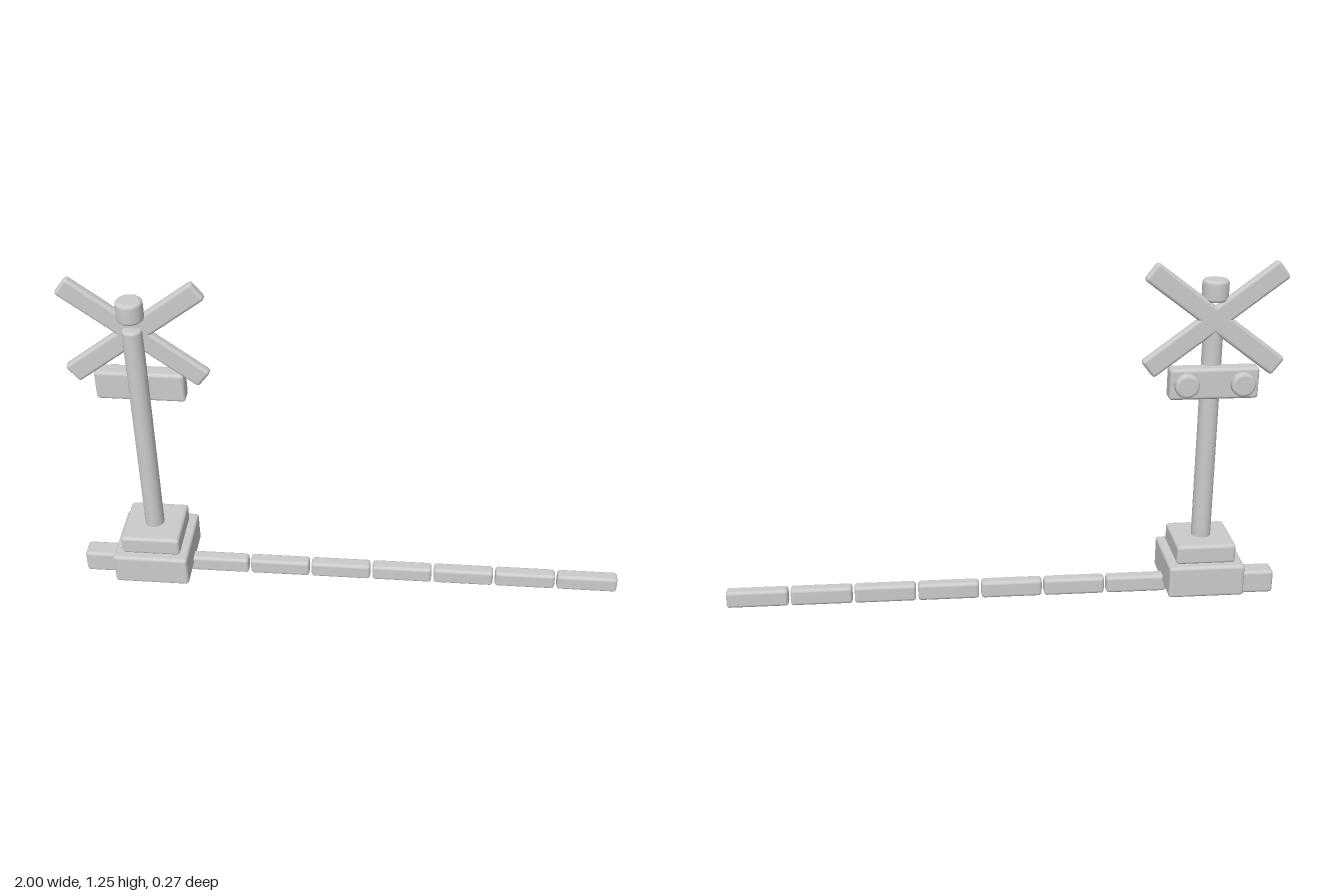
import * as THREE from 'three';
import { RoundedBoxGeometry } from 'three/addons/geometries/RoundedBoxGeometry.js';

const material = new THREE.MeshStandardMaterial({ color: 0xcccccc });
const POST_X = -0.725;

// Box with softened edges
function block(name, [w, h, d], [x, y, z], bevel = 0.012) {
  const mesh = new THREE.Mesh(new RoundedBoxGeometry(w, h, d, 3, bevel), material);
  mesh.name = name;
  mesh.position.set(x, y, z);
  return mesh;
}

// Upright cylinder with softened rims, centred on its own origin
function roundBar(name, radius, height, [x, y, z], bevel = 0.01) {
  const h = height / 2;
  const profile = [new THREE.Vector2(0, -h), new THREE.Vector2(radius - bevel - 0.002, -h)];
  for (const side of [-1, 1]) {
    for (let i = 0; i <= 3; i++) {
      const a = (side < 0 ? i - 3 : i) * Math.PI / 6;
      profile.push(new THREE.Vector2(
        radius - bevel + bevel * Math.cos(a),
        side * (h - bevel) + bevel * Math.sin(a)));
    }
  }
  profile.push(new THREE.Vector2(radius - bevel - 0.002, h), new THREE.Vector2(0, h));
  const mesh = new THREE.Mesh(new THREE.LatheGeometry(profile, 32), material);
  mesh.name = name;
  mesh.position.set(x, y, z);
  return mesh;
}

export function createModel() {
  const model = new THREE.Group();
  model.name = 'railwayCrossingBarrier';

  // Stepped base and post
  model.add(
    block('baseLower', [0.274, 0.12, 0.274], [POST_X, 0.107, 0]),
    block('baseUpper', [0.214, 0.072, 0.214], [POST_X, 0.2, 0]),
    roundBar('post', 0.035, 0.87, [POST_X, 0.645, 0]),
    roundBar('bell', 0.046, 0.076, [POST_X, 1.152, 0], 0.012)
  );

  // Crossed warning boards
  const crossbuck = new THREE.Group();
  crossbuck.name = 'crossbuck';
  for (const side of [-1, 1]) {
    const board = block('crossBoard', [0.575, 0.075, 0.034], [POST_X, 1.054, -0.02]);
    board.rotation.z = side * 0.65;
    crossbuck.add(board);
  }
  model.add(crossbuck);

  // Signal box with a lamp on each side, facing the back
  const signal = new THREE.Group();
  signal.name = 'signal';
  signal.add(block('signalBox', [0.312, 0.112, 0.06], [POST_X, 0.835, -0.038]));
  for (const side of [-1, 1]) {
    const lamp = roundBar('lamp', 0.043, 0.04, [POST_X + side * 0.098, 0.835, -0.071]);
    lamp.rotation.x = Math.PI / 2;
    signal.add(lamp);
  }
  model.add(signal);

  // Lowered barrier arm in seven sections, with its counterweight
  const arm = new THREE.Group();
  arm.name = 'barrierArm';
  for (let i = 0; i < 7; i++) {
    arm.add(block('armSection', [0.222, 0.064, 0.048], [-0.491 + i * 0.23, 0.048, 0]));
  }
  arm.add(block('counterweight', [0.21, 0.088, 0.074], [-0.895, 0.044, 0]));
  model.add(arm);

  return model;
}
